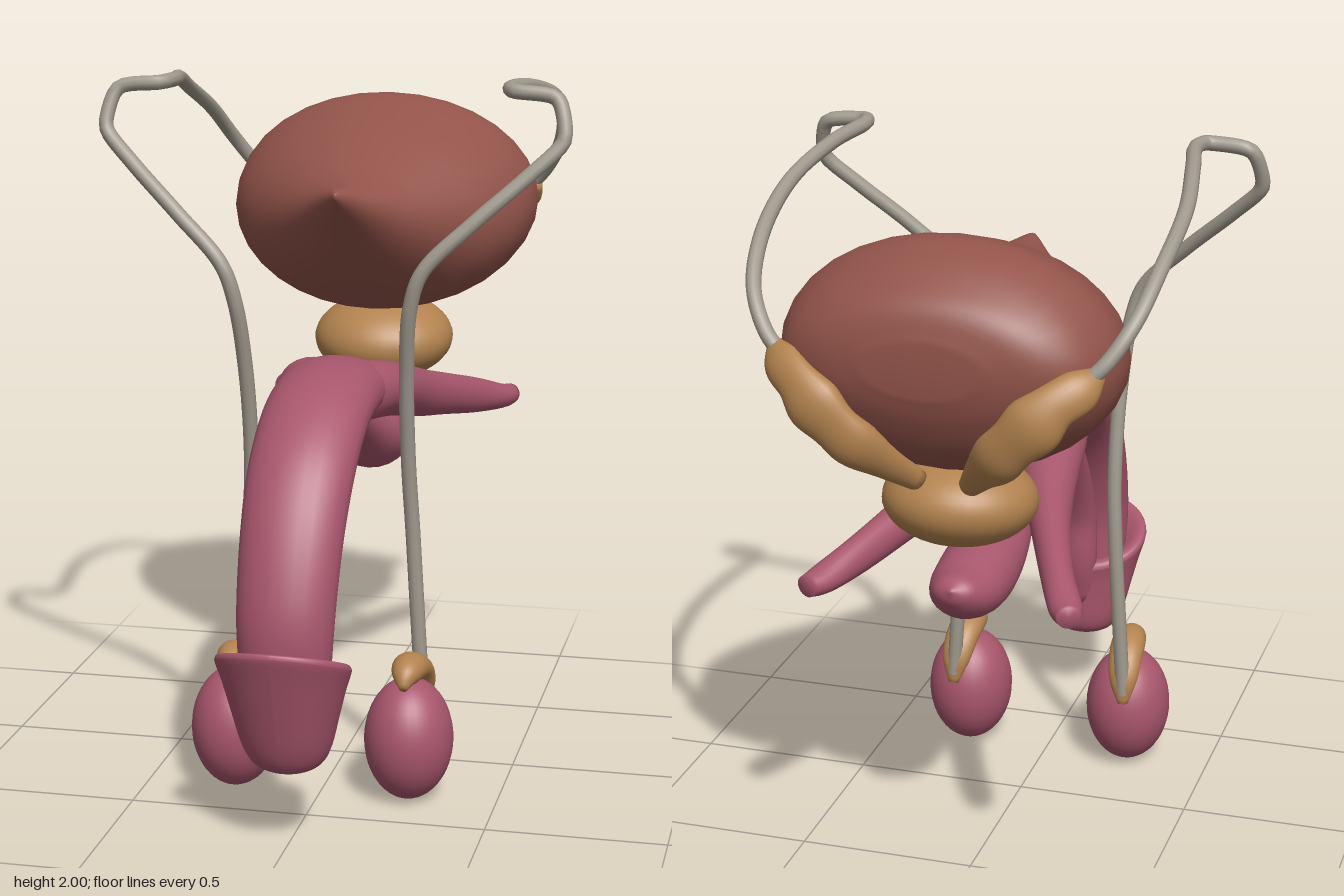
import * as THREE from 'three';

const mat = (name, color) => {
  const m = new THREE.MeshStandardMaterial({ color });
  m.name = name;
  return m;
};

// Smooth closed body through elliptical sections [x, y, z, halfWidth, halfHeight].
// "hint" is the width direction; "fixed" keeps all sections parallel.
function loft(sections, { hint = [1, 0, 0], fixed = null, sides = 24, steps = 5 } = {}) {
  const curve = (f) => new THREE.CatmullRomCurve3(sections.map(f), false, 'catmullrom', 0.5);
  const path = curve((s) => new THREE.Vector3(s[0], s[1], s[2]));
  const size = curve((s) => new THREE.Vector3(s[3], s[4], 0));
  const n = (sections.length - 1) * steps;
  const pos = [], idx = [];
  for (let i = 0; i <= n; i++) {
    const c = path.getPoint(i / n), r = size.getPoint(i / n);
    const t = fixed ? new THREE.Vector3(...fixed) : path.getTangent(i / n);
    const side = new THREE.Vector3(...hint);
    side.addScaledVector(t, -side.dot(t)).normalize();
    const up = t.clone().cross(side);
    for (let j = 0; j < sides; j++) {
      const a = (j / sides) * Math.PI * 2;
      const p = c.clone()
        .addScaledVector(side, Math.max(r.x, 0.001) * Math.cos(a))
        .addScaledVector(up, Math.max(r.y, 0.001) * Math.sin(a));
      pos.push(p.x, p.y, p.z);
      const k = (j + 1) % sides, A = i * sides;
      if (i < n) idx.push(A + j, A + k, A + sides + k, A + j, A + sides + k, A + sides + j);
    }
  }
  // end caps
  const first = pos.length / 3, a = path.getPoint(0), b = path.getPoint(1);
  pos.push(a.x, a.y, a.z, b.x, b.y, b.z);
  for (let j = 0; j < sides; j++) {
    const k = (j + 1) % sides;
    idx.push(first, k, j, first + 1, n * sides + j, n * sides + k);
  }
  const g = new THREE.BufferGeometry();
  g.setAttribute('position', new THREE.Float32BufferAttribute(pos, 3));
  g.setIndex(idx);
  g.computeVertexNormals();
  return g;
}

export function createModel() {
  const model = new THREE.Group();
  const brown = mat('bladderBrown', 0x92544a);
  const pink = mat('tissuePink', 0xa8566c);
  const tan = mat('glandTan', 0xb3834f);
  const grey = mat('ductGrey', 0xa09a8e);
  const add = (name, geometry, material) => {
    const m = new THREE.Mesh(geometry, material);
    m.name = name;
    model.add(m);
    return m;
  };
  const ball = (name, material, c, r) => {
    const m = add(name, new THREE.SphereGeometry(1, 32, 24), material);
    m.position.set(...c);
    m.scale.set(...r);
    return m;
  };

  // bladder rows: z, top y, bottom y, half width
  const bladder = [
    [0.13, 1.685, 1.67, 0.004], [0.1, 1.693, 1.64, 0.028], [0, 1.695, 1.545, 0.105],
    [-0.1, 1.71, 1.445, 0.19], [-0.2, 1.745, 1.36, 0.275], [-0.33, 1.795, 1.28, 0.375],
    [-0.46, 1.84, 1.253, 0.435], [-0.6, 1.88, 1.255, 0.457], [-0.7, 1.86, 1.28, 0.44],
    [-0.79, 1.81, 1.35, 0.39], [-0.85, 1.755, 1.45, 0.29], [-0.878, 1.67, 1.53, 0.15],
  ].map(([z, t, b, w]) => [0, (t + b) / 2, z, w, (t - b) / 2]);
  add('bladder', loft(bladder, { fixed: [0, 0, -1], sides: 32 }), brown);

  ball('prostate', tan, [0, 1.148, -0.56], [0.21, 0.125, 0.2]).rotation.x = 0.12;

  // curved shaft
  add('shaft', loft([
    [0, 0.45, 0.73, 0.12, 0.085], [0, 0.6, 0.735, 0.13, 0.095], [0, 0.72, 0.71, 0.135, 0.097],
    [0, 0.86, 0.65, 0.14, 0.097], [0, 0.98, 0.565, 0.145, 0.097], [0, 1.065, 0.46, 0.147, 0.095],
    [0, 1.12, 0.34, 0.148, 0.095], [0, 1.14, 0.2, 0.15, 0.095], [0, 1.128, 0.05, 0.15, 0.085],
    [0, 1.09, -0.12, 0.12, 0.06], [0, 1.06, -0.22, 0.06, 0.03],
  ]), pink);

  // lower column ending in a rounded bulb
  add('lowerColumnAndBulb', loft([
    [0, 0.36, 0.65, 0.05, 0.04], [0, 0.5, 0.625, 0.06, 0.05], [0, 0.65, 0.615, 0.06, 0.05],
    [0, 0.8, 0.545, 0.06, 0.05], [0, 0.93, 0.445, 0.06, 0.05], [0, 1.02, 0.3, 0.06, 0.045],
    [0, 1.045, 0.15, 0.06, 0.045], [0, 1.02, 0, 0.065, 0.05], [0, 0.97, -0.12, 0.08, 0.065],
    [0, 0.905, -0.26, 0.1, 0.085], [0, 0.875, -0.4, 0.11, 0.098], [0, 0.87, -0.53, 0.1, 0.082],
    [0, 0.9, -0.62, 0.06, 0.045], [0, 0.915, -0.655, 0.005, 0.005],
  ]), pink);

  // glans: lathe with its rim slanted upward at the front
  const profile = [[0.001, 0.22], [0.05, 0.226], [0.095, 0.25], [0.122, 0.3], [0.145, 0.39],
    [0.165, 0.47], [0.18, 0.52], [0.182, 0.535], [0.173, 0.547], [0.145, 0.542], [0.09, 0.5]];
  const glans = new THREE.LatheGeometry(
    new THREE.SplineCurve(profile.map((p) => new THREE.Vector2(...p))).getPoints(40), 40);
  const gp = glans.attributes.position;
  for (let i = 0; i < gp.count; i++) {
    const y = gp.getY(i), z = gp.getZ(i) * 0.87;
    const k = THREE.MathUtils.clamp((y - 0.25) / 0.27, 0, 1);
    gp.setXYZ(i, gp.getX(i), y + 0.42 * z * k, z + 0.715 + 0.045 * k);
  }
  glans.computeVertexNormals();
  add('glans', glans, pink);

  // paired parts
  for (const s of [1, -1]) {
    const side = s > 0 ? 'left' : 'right';
    const flip = (rows) => rows.map(([x, ...rest]) => [x * s, ...rest]);

    add(side + 'Crus', loft(flip([
      [0.06, 1.13, 0.22, 0.07, 0.075], [0.085, 1.12, 0.05, 0.095, 0.082],
      [0.12, 1.085, -0.12, 0.085, 0.077], [0.165, 1.04, -0.28, 0.065, 0.07],
      [0.215, 1.005, -0.43, 0.052, 0.062], [0.28, 0.965, -0.6, 0.045, 0.053],
      [0.335, 0.938, -0.72, 0.045, 0.038], [0.36, 0.935, -0.775, 0.032, 0.03],
    ])), pink);

    ball(side + 'Testis', pink, [0.25 * s, 0.183, 0.302], [0.125, 0.175, 0.138]);

    add(side + 'Epididymis', loft(flip([
      [0.25, 0.355, 0.39, 0.012, 0.012], [0.25, 0.383, 0.355, 0.038, 0.035],
      [0.252, 0.39, 0.3, 0.05, 0.042], [0.257, 0.365, 0.235, 0.05, 0.037],
      [0.262, 0.31, 0.19, 0.042, 0.028], [0.265, 0.24, 0.172, 0.015, 0.012],
    ])), tan);

    // lumpy gland lying against the back of the bladder
    add(side + 'SeminalVesicle', loft(flip([
      [0.43, 1.6, -0.765, 0.022, 0.02], [0.395, 1.57, -0.81, 0.055, 0.035],
      [0.34, 1.535, -0.85, 0.06, 0.036], [0.29, 1.485, -0.865, 0.078, 0.045],
      [0.235, 1.43, -0.865, 0.066, 0.036], [0.185, 1.375, -0.84, 0.068, 0.042],
      [0.13, 1.315, -0.785, 0.048, 0.032], [0.07, 1.24, -0.7, 0.03, 0.025],
    ]), { hint: [0.65 * s, -0.75, 0] }), tan);

    // duct looping from testis over to the back of the bladder
    const duct = new THREE.CatmullRomCurve3(flip([
      [0.265, 0.27, 0.178], [0.255, 0.42, 0.18], [0.235, 0.75, 0.182], [0.225, 0.95, 0.2],
      [0.227, 1.2, 0.245], [0.245, 1.41, 0.295], [0.28, 1.51, 0.302], [0.41, 1.64, 0.27],
      [0.55, 1.765, 0.215], [0.635, 1.85, 0.175], [0.64, 1.875, 0.168], [0.62, 1.955, 0.14],
      [0.6, 1.97, 0.133], [0.5, 1.98, 0.128], [0.485, 1.982, 0.115], [0.475, 1.982, 0.06],
      [0.505, 1.97, -0.1], [0.543, 1.915, -0.34], [0.535, 1.82, -0.58], [0.505, 1.72, -0.71],
      [0.45, 1.63, -0.77], [0.4, 1.58, -0.79],
    ]).map((p) => new THREE.Vector3(...p)));
    add(side + 'Duct', new THREE.TubeGeometry(duct, 160, 0.021, 10), grey);
  }
  return model;
}
